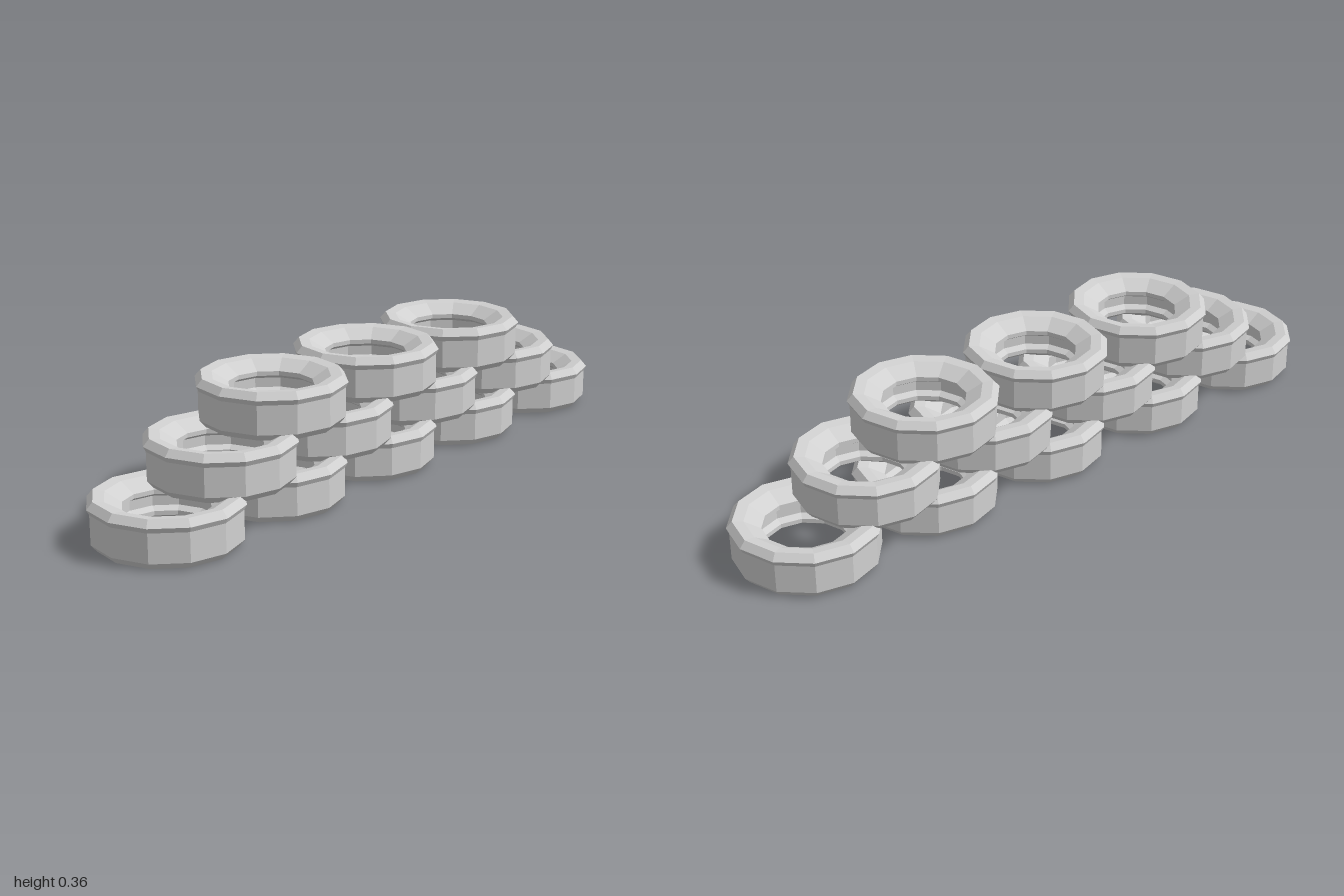
import * as THREE from 'three';

export function createModel() {
  const model = new THREE.Group();
  model.name = 'tireStack';
  const rubber = new THREE.MeshStandardMaterial({ color: 0xd0d0d0, flatShading: true });
  rubber.name = 'lightGreyRubber';

  // Closed tyre cross-section (radius, height): up the tread, over the rim, down the hole
  const profile = [
    [0.178, 0], [0.193, 0.018], [0.193, 0.097], [0.2, 0.111], [0.184, 0.13],
    [0.155, 0.126], [0.112, 0.1], [0.112, 0.088], [0.128, 0.078],
    [0.128, 0.052], [0.112, 0.042], [0.112, 0.03], [0.15, 0.005], [0.178, 0],
  ].map(([r, y]) => new THREE.Vector2(r, y));
  const tireGeometry = new THREE.LatheGeometry(profile, 12);

  // Rows of five, four and three, each resting over the joints of the row below
  const rows = [[5, 'bottom'], [4, 'middle'], [3, 'top']];
  rows.forEach(([count, label], row) => {
    const group = new THREE.Group();
    group.name = label + 'Row';
    for (let i = 0; i < count; i++) {
      const tire = new THREE.Mesh(tireGeometry, rubber);
      tire.name = 'tire';
      const x = (i - (count - 1) / 2) * 0.4;
      const isEnd = i === 0 || i === count - 1;
      // The centre tyre of the top row sits slightly proud
      const lift = row === 2 && !isEnd ? 0.004 : 0;
      tire.position.set(x, row * 0.111 + lift, 0);
      // Tyres are slightly oval; the covered ones are a touch shallower
      const covered = row < 2 && !isEnd;
      tire.scale.set(covered || row === 2 ? 1.015 : 1, 1, covered ? 1.01 : 1.035);
      group.add(tire);
    }
    model.add(group);
  });
  return model;
}
